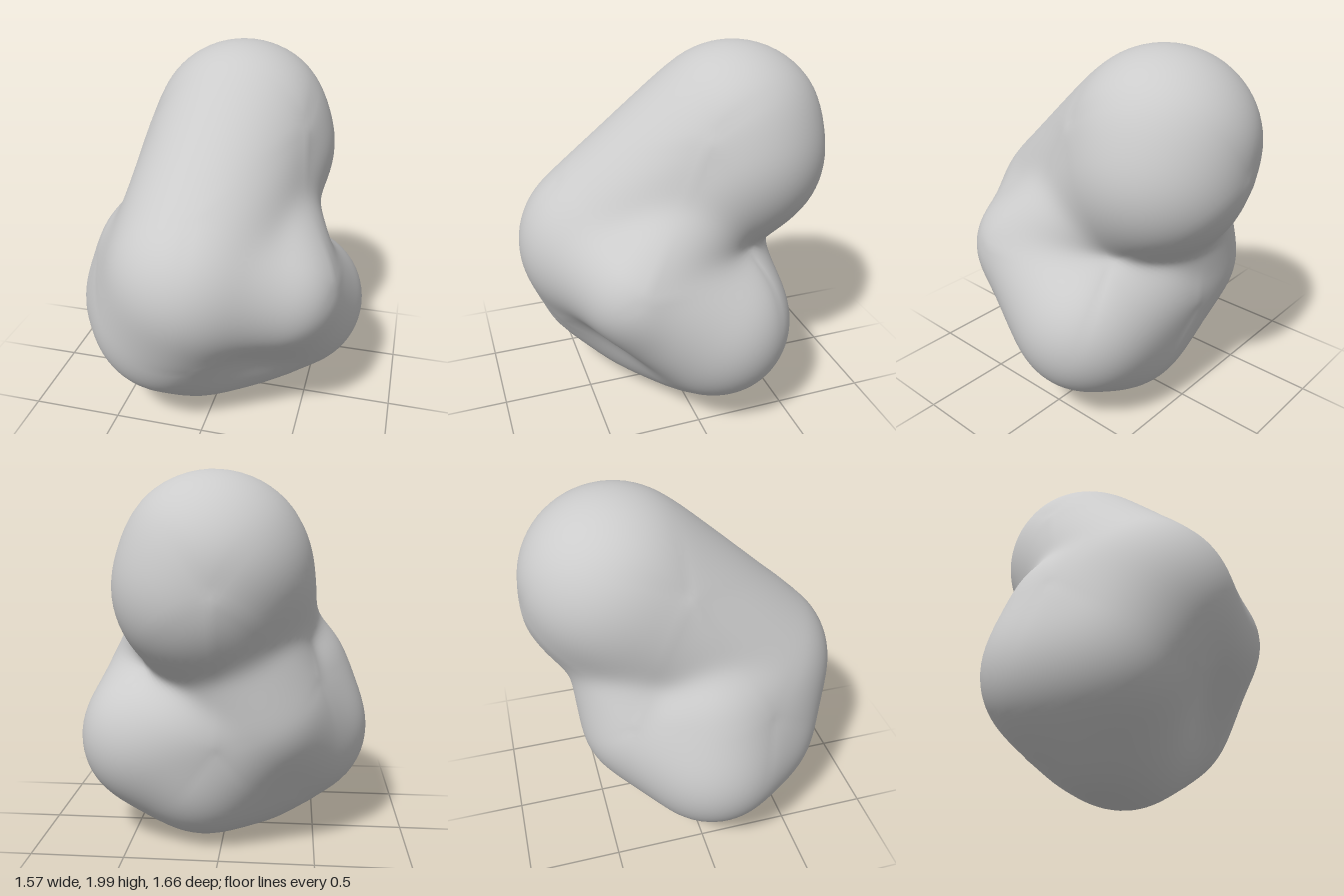
import * as THREE from 'three';
import { mergeVertices } from 'three/addons/utils/BufferGeometryUtils.js';

// Lobes of the form: centre x, y, z and radius
const lobe = {
  head: [0.03, 1.51, -0.34, 0.498],
  cheek: [0.075, 1.42, -0.355, 0.475],
  neck: [0.03, 1.33, -0.29, 0.355],
  front: [-0.07, 0.935, 0.375, 0.46],
  frontLow: [-0.24, 0.6, 0.3, 0.42],
  minusX: [-0.39, 0.58, 0.08, 0.41],
  side: [-0.27, 0.85, 0.1, 0.425],
  back: [-0.2, 0.76, -0.22, 0.385],
  plusX: [0.385, 0.57, -0.13, 0.41],
  shoulder: [0.365, 0.86, 0.28, 0.33],
  baseFront: [-0.13, 0.425, 0.08, 0.425],
  baseBack: [0.11, 0.43, -0.1, 0.43],
  core: [0.07, 0.69, 0.11, 0.4],
};

// Rounded triangular slabs, each spanning three lobes
const slabs = [
  ['head', 'cheek', 'front'], ['front', 'back', 'neck'], ['shoulder', 'front', 'neck'],
  ['core', 'shoulder', 'neck'], ['front', 'side', 'back'], ['front', 'side', 'minusX'],
  ['side', 'minusX', 'back'], ['front', 'frontLow', 'minusX'],
  ['frontLow', 'minusX', 'baseFront'], ['minusX', 'back', 'baseFront'],
  ['back', 'baseFront', 'baseBack'], ['back', 'plusX', 'baseBack'],
  ['back', 'plusX', 'core'], ['shoulder', 'plusX', 'core'], ['shoulder', 'front', 'core'],
  ['front', 'frontLow', 'core'], ['frontLow', 'baseFront', 'core'],
  ['baseFront', 'baseBack', 'core'], ['plusX', 'baseBack', 'core'],
].map((names) => ({
  triangle: new THREE.Triangle(...names.map((n) => new THREE.Vector3(...lobe[n]))),
  radii: new THREE.Vector3(...names.map((n) => lobe[n][3])),
}));

const nearest = new THREE.Vector3();
const weights = new THREE.Vector3();
function bodyDistance(p) {
  let d = Infinity;
  for (const { triangle, radii } of slabs) {
    triangle.closestPointToPoint(p, nearest);
    triangle.getBarycoord(nearest, weights);
    d = Math.min(d, nearest.distanceTo(p) - weights.dot(radii));
  }
  return d;
}

// Average each radius with its neighbours to soften the creases
function soften(radii, index, passes) {
  for (let pass = 0; pass < passes; pass++) {
    const sum = new Float32Array(radii.length);
    const count = new Float32Array(radii.length);
    for (let i = 0; i < index.count; i++) {
      const a = index.getX(i);
      const b = index.getX(i % 3 === 2 ? i - 2 : i + 1);
      sum[a] += radii[b];
      count[a]++;
    }
    for (let i = 0; i < radii.length; i++) radii[i] = (radii[i] + sum[i] / count[i]) / 2;
  }
}

// Shrink-wrap a sphere onto the lobes
function wrapGeometry() {
  let geometry = new THREE.IcosahedronGeometry(1, 26);
  geometry.deleteAttribute('uv');
  geometry.deleteAttribute('normal');
  geometry = mergeVertices(geometry, 1e-4);
  const centre = new THREE.Vector3(0, 0.95, -0.06);
  const pos = geometry.attributes.position;
  const radii = new Float32Array(pos.count);
  const dir = new THREE.Vector3();
  const p = new THREE.Vector3();
  for (let i = 0; i < pos.count; i++) {
    dir.fromBufferAttribute(pos, i);
    let r = 1.6;
    for (let n = 0; n < 60 && r > 0.1; n++) {
      const d = bodyDistance(p.copy(centre).addScaledVector(dir, r));
      if (d < 0.0005) break;
      r -= d;
    }
    radii[i] = r;
  }
  soften(radii, geometry.index, 16);
  for (let i = 0; i < pos.count; i++) {
    p.copy(centre).addScaledVector(dir.fromBufferAttribute(pos, i), radii[i]);
    pos.setXYZ(i, p.x, p.y, p.z);
  }
  geometry.computeVertexNormals();
  return geometry;
}

export function createModel() {
  const group = new THREE.Group();
  group.name = 'blob';
  const body = new THREE.Mesh(wrapGeometry(), new THREE.MeshStandardMaterial({ color: 0xcccccc }));
  body.name = 'lobedBody';
  group.add(body);
  return group;
}
